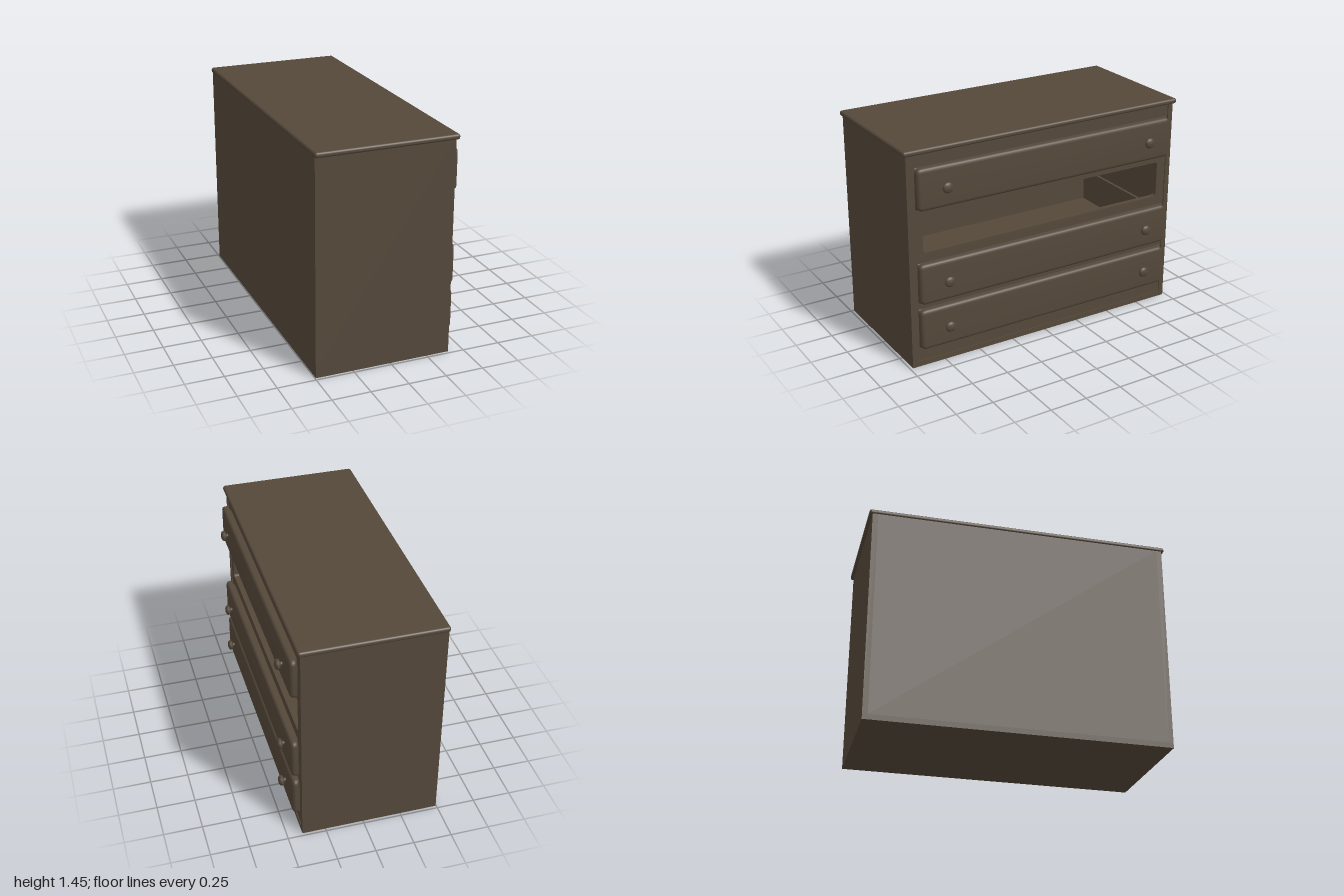
import * as THREE from 'three';
import { RoundedBoxGeometry } from 'three/addons/geometries/RoundedBoxGeometry.js';
import { toCreasedNormals } from 'three/addons/utils/BufferGeometryUtils.js';

const wood = new THREE.MeshStandardMaterial({ color: 0x55483a });

function add(parent, name, geometry) {
  const mesh = new THREE.Mesh(geometry, wood);
  mesh.name = name;
  parent.add(mesh);
  return mesh;
}

// Box given by its limits on each axis
function box(parent, name, [x0, x1], [y0, y1], [z0, z1]) {
  const mesh = add(parent, name, new THREE.BoxGeometry(x1 - x0, y1 - y0, z1 - z0));
  mesh.position.set((x0 + x1) / 2, (y0 + y1) / 2, (z0 + z1) / 2);
  return mesh;
}

// Rounded rectangle centred on (0, cy)
function roundedRect(path, w, h, r, cy = 0) {
  const a = w / 2, t = cy + h / 2, b = cy - h / 2;
  path.moveTo(-a + r, b);
  path.lineTo(a - r, b).quadraticCurveTo(a, b, a, b + r);
  path.lineTo(a, t - r).quadraticCurveTo(a, t, a - r, t);
  path.lineTo(-a + r, t).quadraticCurveTo(-a, t, -a, t - r);
  path.lineTo(-a, b + r).quadraticCurveTo(-a, b, -a + r, b);
  return path;
}

// One drawer: open box, bevelled front and two knobs; y = 0 at its centre
function createDrawer() {
  const drawer = new THREE.Group();
  drawer.name = 'drawer';

  const X = [-0.44, 0.41], H = [-0.12, 0.12];
  box(drawer, 'drawerBottom', X, [-0.12, -0.105], [-0.875, 0.875]);
  box(drawer, 'drawerBack', [-0.44, -0.42], H, [-0.875, 0.875]);
  box(drawer, 'drawerInnerFront', [0.385, 0.412], H, [-0.875, 0.875]);
  for (const s of [-1, 1]) {
    box(drawer, 'drawerSide', X, H, s < 0 ? [-0.875, -0.855] : [0.855, 0.875]);
  }

  const shape = roundedRect(new THREE.Shape(), 1.81, 0.222, 0.01);
  const front = new THREE.ExtrudeGeometry(shape, {
    depth: 0.004, bevelThickness: 0.02, bevelSize: 0.024, bevelSegments: 4, curveSegments: 4,
  });
  // Square off the rear so that only the face is bevelled
  const p = front.attributes.position;
  for (let i = 0; i < p.count; i++) {
    if (p.getZ(i) < 0.001) {
      const f = Math.max(0, -p.getZ(i)) / 0.02;
      const px = p.getX(i), py = p.getY(i);
      const grow = 0.024 * (1 - Math.sqrt(1 - Math.min(1, f * f)));
      p.setX(i, px + Math.sign(px) * grow);
      p.setY(i, py + Math.sign(py) * grow);
    }
  }
  front.rotateY(Math.PI / 2);
  add(drawer, 'drawerFront', toCreasedNormals(front, 0.6)).position.x = 0.426;

  const profile = [
    [0.015, 0], [0.013, 0.01], [0.015, 0.016], [0.027, 0.018], [0.034, 0.026],
    [0.035, 0.033], [0.030, 0.042], [0.018, 0.048], [0, 0.05],
  ].map(([r, y]) => new THREE.Vector2(r, y));
  for (const z of [-0.745, 0.745]) {
    const knob = add(drawer, 'knob', new THREE.LatheGeometry(profile, 20).rotateZ(-Math.PI / 2));
    knob.position.set(0.448, 0, z);
  }
  return drawer;
}

export function createModel() {
  const model = new THREE.Group();
  model.name = 'chestOfDrawers';

  // Carcass
  box(model, 'base', [-0.495, 0.402], [0, 0.035], [-0.98, 0.98]);
  box(model, 'leftSidePanel', [-0.495, 0.402], [0.035, 1.415], [-0.98, -0.945]);
  box(model, 'rightSidePanel', [-0.495, 0.402], [0.035, 1.415], [0.945, 0.98]);
  box(model, 'backPanel', [-0.495, -0.47], [0.035, 1.415], [-0.945, 0.945]);

  // Rounded top board
  const top = add(model, 'topBoard', new RoundedBoxGeometry(0.92, 0.035, 2, 4, 0.015));
  top.position.set(-0.04, 1.4275, 0);

  // Face frame with four drawer openings
  const frame = new THREE.Shape();
  frame.moveTo(-0.945, 0.035).lineTo(0.945, 0.035).lineTo(0.945, 1.415).lineTo(-0.945, 1.415);
  for (const y of [0.265, 0.577, 0.89, 1.197]) {
    frame.holes.push(roundedRect(new THREE.Path(), 1.76, 0.244, 0.02, y));
  }
  const frameGeo = new THREE.ExtrudeGeometry(frame, { depth: 0.035, bevelEnabled: false, curveSegments: 4 });
  frameGeo.rotateY(Math.PI / 2);
  add(model, 'faceFrame', frameGeo).position.x = 0.36;

  // Three drawers; the second opening from the top is empty
  [[0.265, -0.004], [0.577, 0], [1.197, 0]].forEach(([y, x]) => {
    const drawer = createDrawer();
    drawer.position.set(x, y, 0);
    model.add(drawer);
  });
  return model;
}
